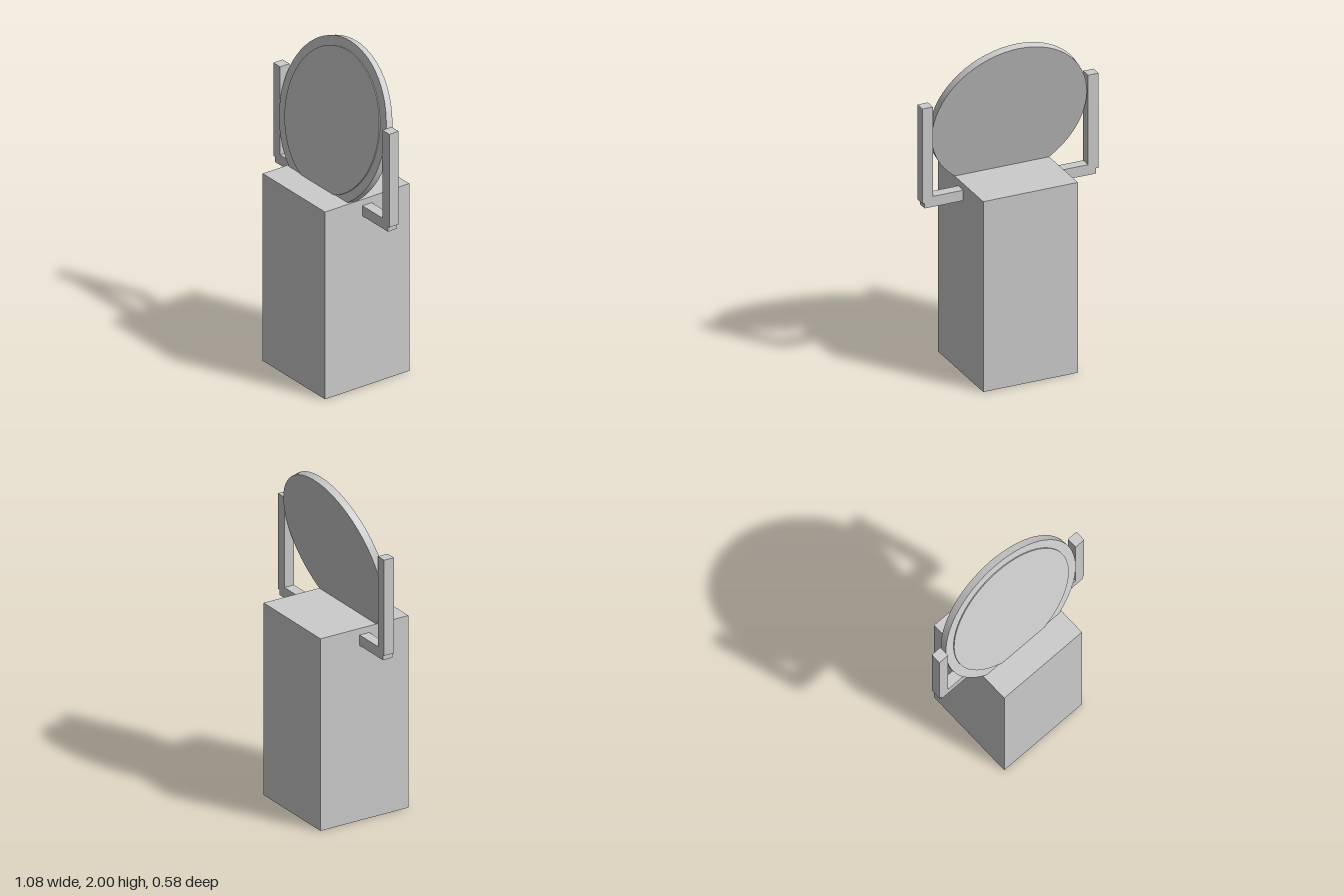
import * as THREE from 'three';

export function createModel() {
  const model = new THREE.Group();
  const grey = new THREE.MeshStandardMaterial({ color: 0xcccccc });
  grey.name = 'light grey';

  const add = (name, geometry, x, y, z, parent = model) => {
    const mesh = new THREE.Mesh(geometry, grey);
    mesh.name = name;
    mesh.position.set(x, y, z);
    parent.add(mesh);
    return mesh;
  };

  // Tall square pedestal
  add('pedestal', new THREE.BoxGeometry(0.582, 1.17, 0.582), 0, 0.585, 0);

  // Yoke: a crossbar through the pedestal and two uprights
  add('crossbar', new THREE.BoxGeometry(1.056, 0.064, 0.064), 0, 1.098, 0);
  for (const side of [1, -1]) {
    add(side > 0 ? 'leftUpright' : 'rightUpright',
      new THREE.BoxGeometry(0.064, 0.582, 0.064), side * 0.51, 1.389, 0);
  }

  // Round mirror, leaning back between the uprights
  const mirror = new THREE.Group();
  mirror.name = 'mirror';
  mirror.position.set(0, 1.537, 0.002);
  mirror.rotation.x = -Math.PI / 12;
  model.add(mirror);

  const disc = (radius, depth) =>
    new THREE.CylinderGeometry(radius, radius, depth, 64).rotateX(Math.PI / 2);
  add('mirrorFrame', disc(0.473, 0.0435), 0, 0, 0, mirror);
  // Slightly raised glass on the front face
  add('mirrorGlass', disc(0.418, 0.012), 0, 0, 0.0218, mirror);

  return model;
}
